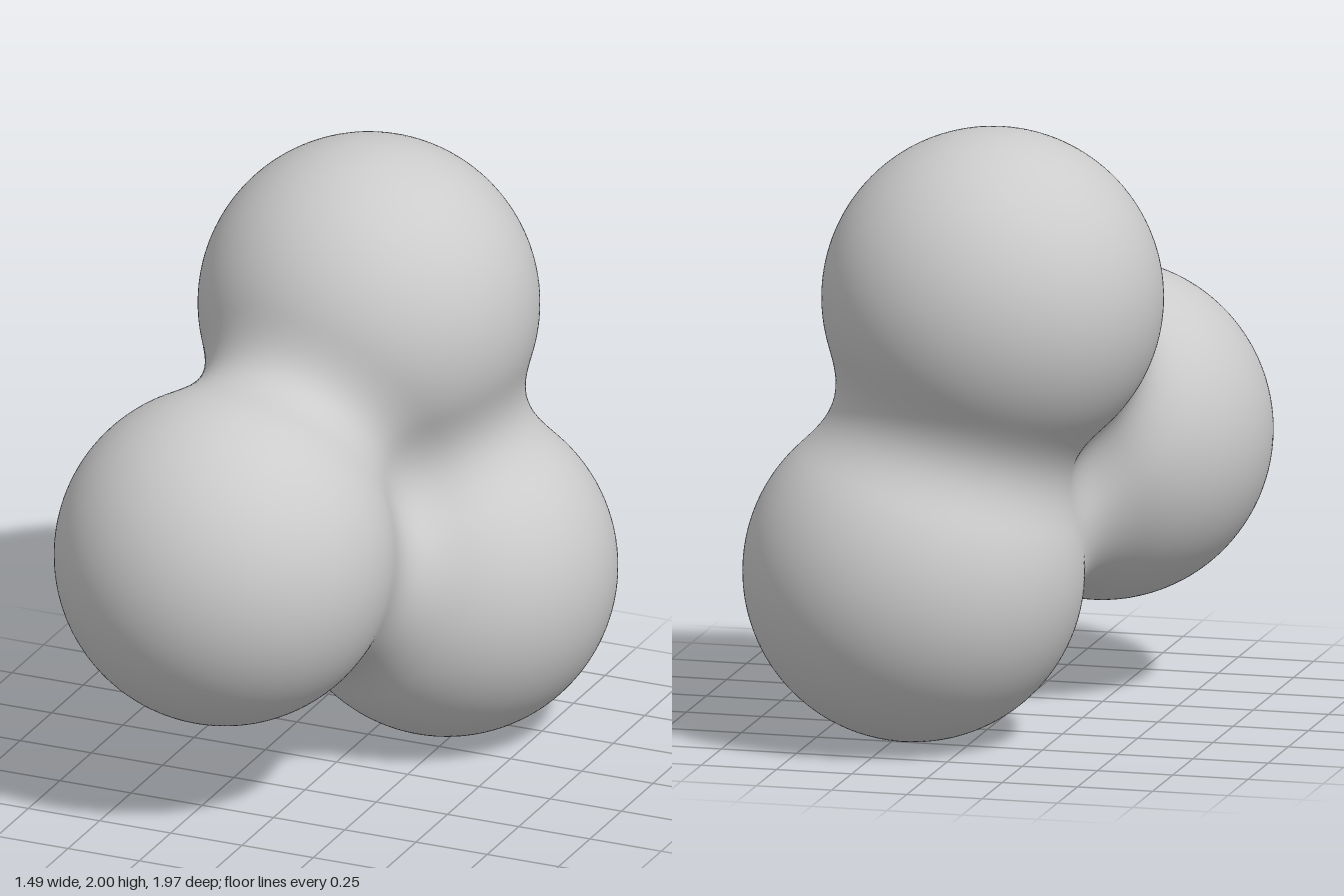
import * as THREE from 'three';

// Three equal lobes that melt into one another
const RADIUS = 0.55;
const REACH = 0.82; // distance at which a lobe stops influencing the surface
const lobes = [
  new THREE.Vector3(-0.05, 1.45, -0.37), // top
  new THREE.Vector3(-0.2, 0.855, 0.432), // front
  new THREE.Vector3(0.195, 0.55, -0.435), // bottom
];

const falloff = (d2) => Math.max(0, 1 - d2 / REACH ** 2);
const LEVEL = falloff(RADIUS ** 2) ** 3;

// Summed strength of all lobes; the surface lies where it equals LEVEL
const field = (p) => lobes.reduce((sum, c) => sum + falloff(p.distanceToSquared(c)) ** 3, 0);

// Outward normal, from the gradient of the field
function surfaceNormal(p) {
  const n = new THREE.Vector3();
  for (const c of lobes) {
    n.addScaledVector(p.clone().sub(c), falloff(p.distanceToSquared(c)) ** 2);
  }
  return n.normalize();
}

// Outermost surface point along a ray from the middle of the blob
function surfacePoint(origin, dir) {
  const at = (t) => origin.clone().addScaledVector(dir, t);
  let outer = 1.3;
  while (outer > 0.05 && field(at(outer - 0.03)) < LEVEL) outer -= 0.03;
  let inner = outer - 0.03;
  for (let i = 0; i < 16; i++) {
    const mid = (inner + outer) / 2;
    if (field(at(mid)) < LEVEL) outer = mid;
    else inner = mid;
  }
  return at(inner);
}

export function createModel() {
  const group = new THREE.Group();
  group.name = 'blob';

  const middle = new THREE.Vector3();
  lobes.forEach((c) => middle.addScaledVector(c, 1 / lobes.length));

  // Push a fine sphere out to the blended surface
  const geometry = new THREE.IcosahedronGeometry(1, 48);
  const position = geometry.attributes.position;
  const normal = geometry.attributes.normal;
  const dir = new THREE.Vector3();
  for (let i = 0; i < position.count; i++) {
    dir.fromBufferAttribute(position, i).normalize();
    const p = surfacePoint(middle, dir);
    const n = surfaceNormal(p);
    position.setXYZ(i, p.x, p.y, p.z);
    normal.setXYZ(i, n.x, n.y, n.z);
  }

  const body = new THREE.Mesh(geometry, new THREE.MeshStandardMaterial({ color: 0xcccccc }));
  body.name = 'mergedLobes';
  group.add(body);
  return group;
}
